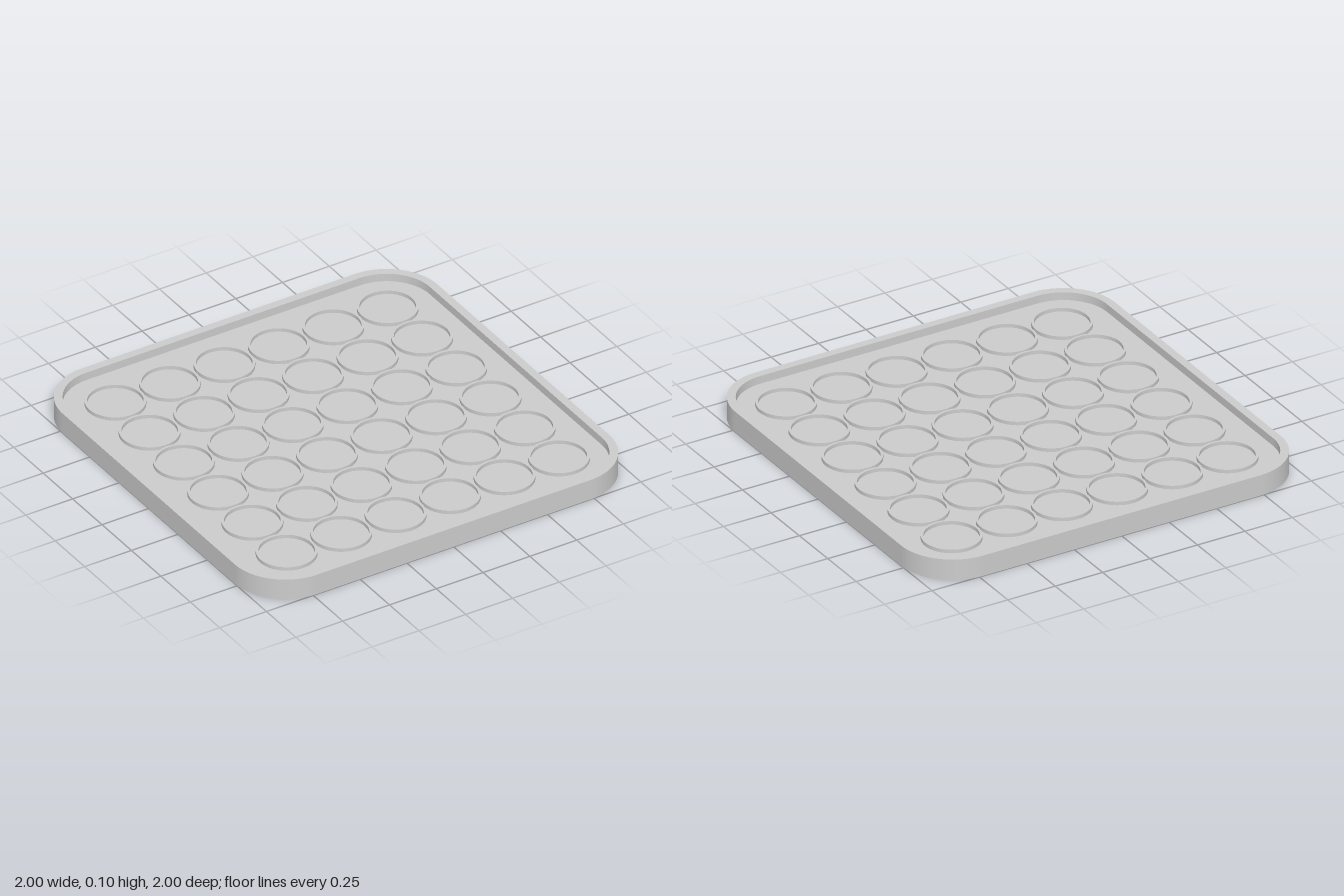
import * as THREE from 'three';

const material = new THREE.MeshStandardMaterial({ color: 0xcccccc });

// Square outline with rounded corners, centred on the origin
function roundedSquare(Type, half, radius) {
  const s = new Type();
  const c = half - radius;
  s.moveTo(-c, -half);
  s.lineTo(c, -half);
  s.absarc(c, -c, radius, -Math.PI / 2, 0, false);
  s.lineTo(half, c);
  s.absarc(c, c, radius, 0, Math.PI / 2, false);
  s.lineTo(-c, half);
  s.absarc(-c, c, radius, Math.PI / 2, Math.PI, false);
  s.lineTo(-half, -c);
  s.absarc(-c, -c, radius, Math.PI, Math.PI * 1.5, false);
  return s;
}

// Flat outline extruded upwards from y = bottom to y = top
function slab(name, shape, bottom, top) {
  const geometry = new THREE.ExtrudeGeometry(shape, {
    depth: top - bottom, bevelEnabled: false, curveSegments: 24,
  });
  geometry.rotateX(-Math.PI / 2);
  geometry.translate(0, bottom, 0);
  const mesh = new THREE.Mesh(geometry, material);
  mesh.name = name;
  return mesh;
}

export function createModel() {
  const tray = new THREE.Group();
  tray.name = 'tray';

  // Upright rim around the tray
  const rim = roundedSquare(THREE.Shape, 1, 0.27);
  rim.holes.push(roundedSquare(THREE.Path, 0.96, 0.23));
  tray.add(slab('rim', rim, 0, 0.105));

  // Floor plate at mid height, recessed on both sides
  tray.add(slab('floor', roundedSquare(THREE.Shape, 0.962, 0.232), 0.04, 0.065));

  // Six by six round holders, with a thin lip above and below the floor
  const lipProfile = [
    [0.128, 0.022], [0.14, 0.022], [0.14, 0.083], [0.128, 0.083], [0.128, 0.022],
  ];
  // Each profile edge is its own lathe so the corners stay sharp
  const lipSides = lipProfile.slice(1).map((p, i) => new THREE.LatheGeometry(
    [new THREE.Vector2(...lipProfile[i]), new THREE.Vector2(...p)], 48));
  const holders = new THREE.Group();
  holders.name = 'holders';
  for (let row = 0; row < 6; row++) {
    for (let col = 0; col < 6; col++) {
      const lip = new THREE.Group();
      lip.name = 'holderLip';
      for (const side of lipSides) lip.add(new THREE.Mesh(side, material));
      lip.position.set(0.005 + (col - 2.5) * 0.291, 0, 0.002 + (row - 2.5) * 0.291);
      holders.add(lip);
    }
  }
  tray.add(holders);
  return tray;
}
